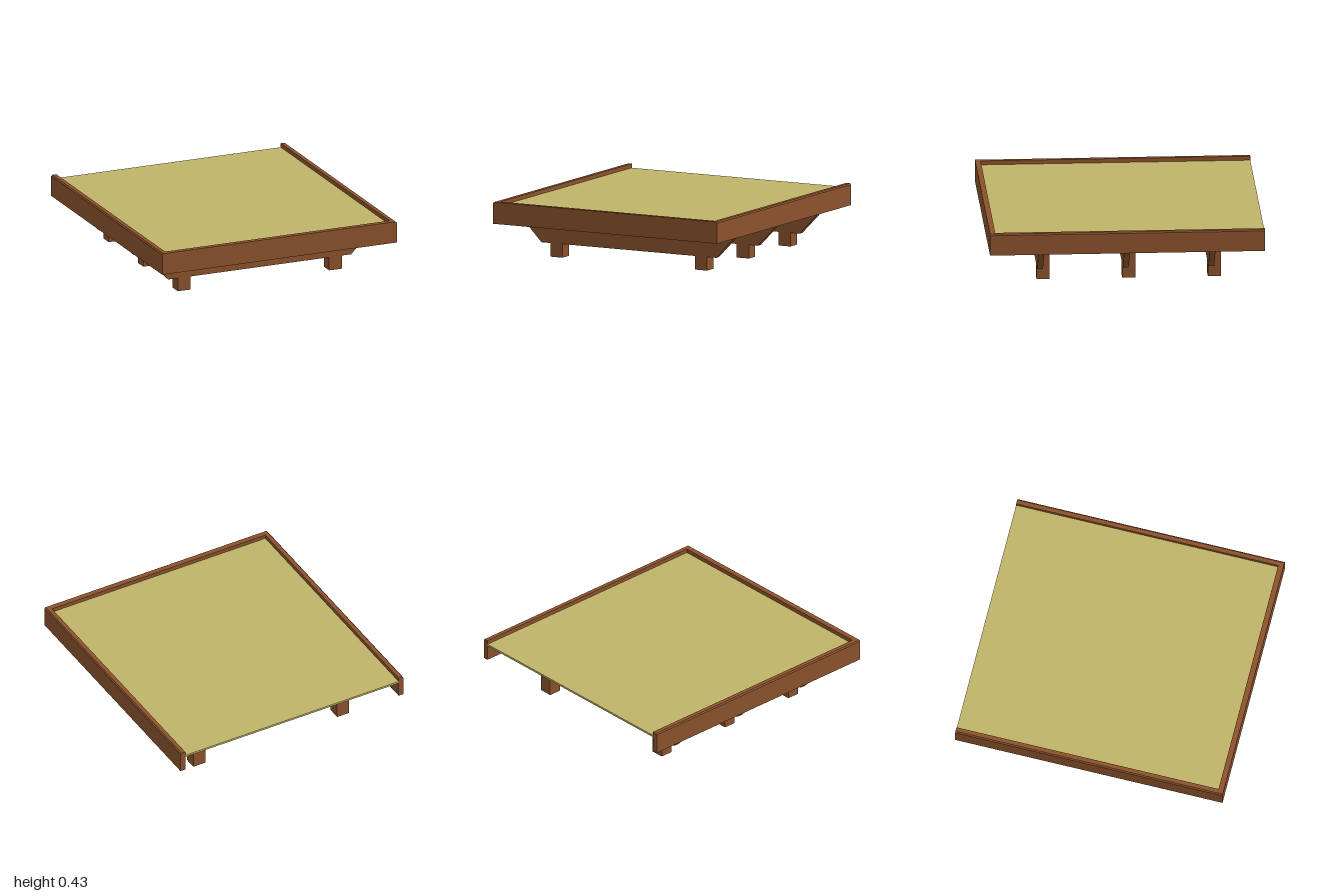
import * as THREE from 'three';

const wood = new THREE.MeshStandardMaterial({ color: 0x8b522c });
wood.name = 'brown wood';
const straw = new THREE.MeshStandardMaterial({ color: 0xc0b468 });
straw.name = 'straw mat';

const DECK_TOP = 0.4, DECK_BOTTOM = 0.385;

function add(parent, name, geometry, material) {
  const mesh = new THREE.Mesh(geometry, material);
  mesh.name = name;
  parent.add(mesh);
  return mesh;
}

// Box given by its minimum and maximum corners
function box([x0, y0, z0], [x1, y1, z1]) {
  return new THREE.BoxGeometry(x1 - x0, y1 - y0, z1 - z0)
    .translate((x0 + x1) / 2, (y0 + y1) / 2, (z0 + z1) / 2);
}

// Flat outline extruded along +z
function prism(points, depth) {
  const shape = new THREE.Shape(points.map(([x, y]) => new THREE.Vector2(x, y)));
  return new THREE.ExtrudeGeometry(shape, { depth, bevelEnabled: false });
}

export function createModel() {
  const model = new THREE.Group();
  model.name = 'platform';

  // Thin deck, open at the back
  add(model, 'deck', box([-0.89, DECK_BOTTOM, -1], [0.89, DECK_TOP, 0.96]), straw);

  // Front rail between the side rails
  add(model, 'frontRail', box([-0.89, 0.27, 0.96], [0.89, 0.43, 1]), wood);

  // Side rails with the outer top edge eased
  const railOutline = [[0.89, 0.27], [0.93, 0.27], [0.93, 0.421], [0.921, 0.43], [0.89, 0.43]];
  for (const side of [1, -1]) {
    const outline = railOutline.map(([x, y]) => [x * side, y]);
    const rail = add(model, side > 0 ? 'leftRail' : 'rightRail', prism(outline, 2), wood);
    rail.position.z = -1;
  }

  // Three cross beams with sloped ends, each on two notched legs
  const beamOutline = [
    [-0.725, 0.1], [0.725, 0.1], [0.89, 0.27], [0.89, DECK_BOTTOM], [-0.89, DECK_BOTTOM], [-0.89, 0.27],
  ];
  // Leg outline seen from the side: the beam rests in the notch at the front
  const legOutline = [[0, 0], [0.095, 0], [0.095, 0.24], [0.042, 0.24], [0.042, 0.1], [0, 0.1]];

  [0.645, 0.022, -0.6].forEach((front, i) => {
    const trestle = new THREE.Group();
    trestle.name = ['frontTrestle', 'middleTrestle', 'backTrestle'][i];
    trestle.position.z = front;
    model.add(trestle);

    add(trestle, 'crossBeam', prism(beamOutline, 0.042).translate(0, 0, -0.042), wood);
    for (const side of [1, -1]) {
      const leg = add(trestle, side > 0 ? 'leftLeg' : 'rightLeg',
        prism(legOutline, 0.1).translate(0, 0, -0.05).rotateY(Math.PI / 2), wood);
      leg.position.x = 0.6 * side;
    }
  });

  return model;
}
